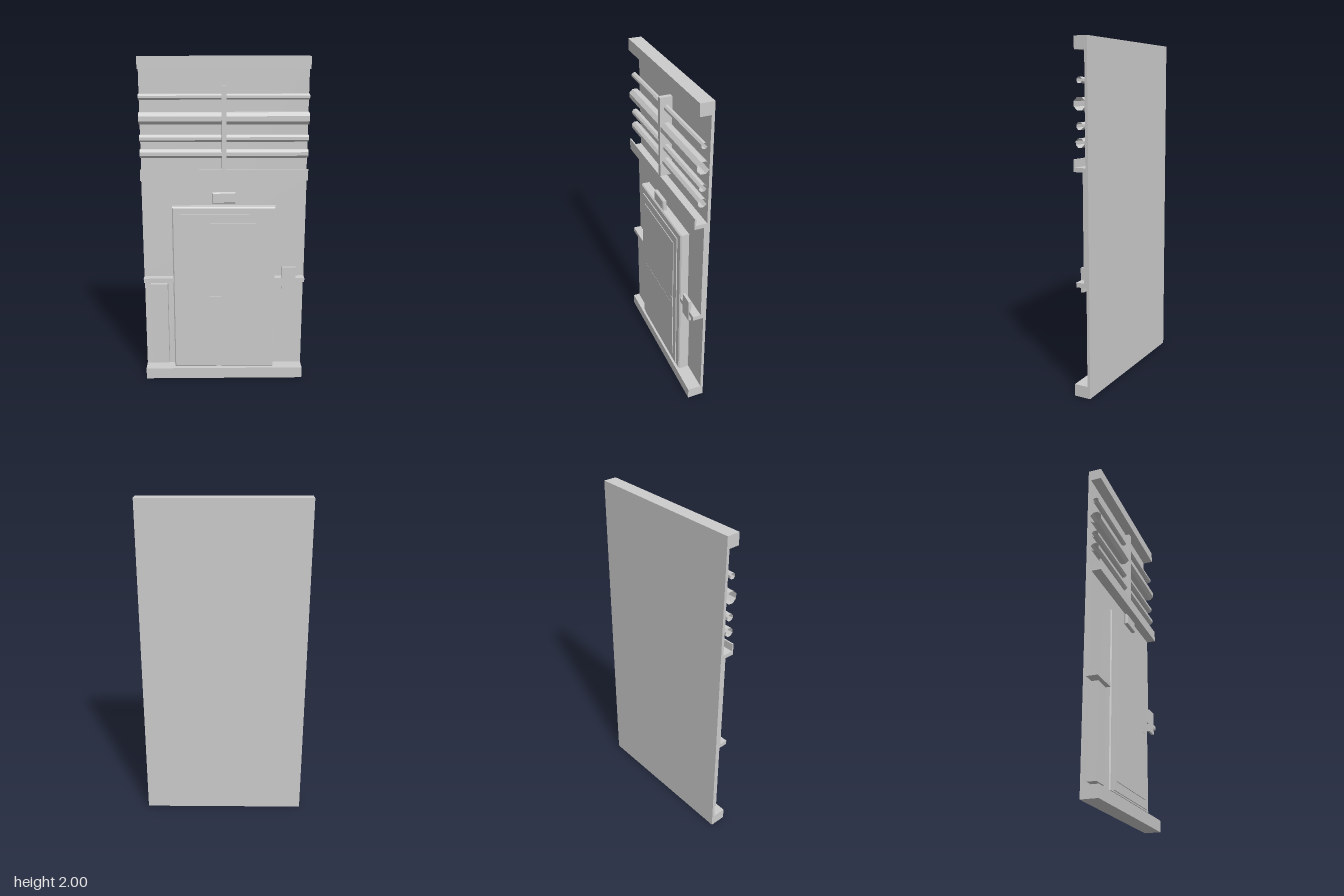
import * as THREE from 'three';

export function createModel() {
  const group = new THREE.Group();
  const paint = new THREE.MeshStandardMaterial({ color: 0xcccccc, side: THREE.DoubleSide });
  paint.name = 'plain grey';
  const W = 0.495; // half width of the wall
  const BACK = -0.033; // front face of the backing sheet

  function add(name, geometry) {
    const mesh = new THREE.Mesh(geometry, paint);
    mesh.name = name;
    group.add(mesh);
    return mesh;
  }

  // Box given by its limits on each axis
  function box(name, x0, x1, y0, y1, z0, z1) {
    const mesh = add(name, new THREE.BoxGeometry(x1 - x0, y1 - y0, z1 - z0));
    mesh.position.set((x0 + x1) / 2, (y0 + y1) / 2, (z0 + z1) / 2);
    return mesh;
  }

  // Box whose front and back rims are chamfered by b
  function chamferedBox(name, x0, x1, y0, y1, z0, z1, b) {
    const shape = new THREE.Shape([
      new THREE.Vector2(x0 + b, y0 + b), new THREE.Vector2(x1 - b, y0 + b),
      new THREE.Vector2(x1 - b, y1 - b), new THREE.Vector2(x0 + b, y1 - b),
    ]);
    const geometry = new THREE.ExtrudeGeometry(shape, {
      depth: z1 - z0 - 2 * b, bevelEnabled: true, bevelSize: b, bevelThickness: b, bevelSegments: 1,
    });
    geometry.translate(0, 0, z0 + b);
    return add(name, geometry);
  }

  // Constant (z, y) section swept along x
  function strip(name, x0, x1, points) {
    const shape = new THREE.Shape(points.map(([z, y]) => new THREE.Vector2(-z, y)));
    const geometry = new THREE.ExtrudeGeometry(shape, { depth: x1 - x0, bevelEnabled: false });
    geometry.rotateY(Math.PI / 2);
    geometry.translate(x0, 0, 0);
    return add(name, geometry);
  }

  // Wall and its beams
  box('wall', -W, W, 0, 2, -0.05, BACK);
  box('topBeam', -W, W, 1.93, 2, BACK, 0.03);
  box('bottomBeam', -W, W, 0, 0.07, BACK, 0.05);
  strip('middlePanel', -W, W, [[BACK, 0.65], [-0.016, 0.67], [-0.016, 1.29], [BACK, 1.29]]);

  // Open cable channel under the pipes
  strip('channel', -W, W, [
    [BACK, 1.286], [0.04, 1.286], [0.04, 1.355], [0.031, 1.355], [0.031, 1.31], [BACK, 1.31],
  ]);

  // Hollow eight-sided pipes: height, radius
  for (const [y, r] of [[1.773, 0.018], [1.65, 0.038], [1.533, 0.022], [1.443, 0.027]]) {
    const geometry = new THREE.CylinderGeometry(r, r, 2 * W, 8, 1, true).toNonIndexed();
    geometry.rotateY(Math.PI / 8);
    geometry.rotateZ(Math.PI / 2);
    geometry.computeVertexNormals();
    add('pipe', geometry).position.y = y;
  }
  box('pipeBracket', -0.014, 0.014, 1.355, 1.835, BACK, 0.039);

  // Door: frame, then shallow stepped leaves and a handle
  chamferedBox('doorFrame', -0.313, 0.31, 0.075, 1.125, BACK, 0.037, 0.007);
  box('doorLeaf', -0.27, 0.265, 0.09, 1.08, 0.03, 0.043);
  box('doorUpperPanel', -0.235, 0.225, 0.56, 1.025, 0.04, 0.047);
  box('doorLowerPanel', -0.235, 0.225, 0.14, 0.56, 0.04, 0.048);
  box('doorHandle', 0.2, 0.225, 0.54, 0.61, 0.04, 0.05);

  // Lamp above the door
  chamferedBox('doorLamp', -0.072, 0.068, 1.15, 1.215, 0.02, 0.045, 0.005);

  // Side rails, wall locker and control box
  for (const [x0, x1] of [[-W, -0.31], [0.308, W]]) {
    box('sideRail', x0, x1, 0.645, 0.672, BACK, 0.033);
  }
  box('locker', -0.455, -0.35, 0.095, 0.63, BACK, 0.02);
  box('controlBox', 0.355, 0.44, 0.6, 0.742, 0.02, 0.037);

  return group;
}
